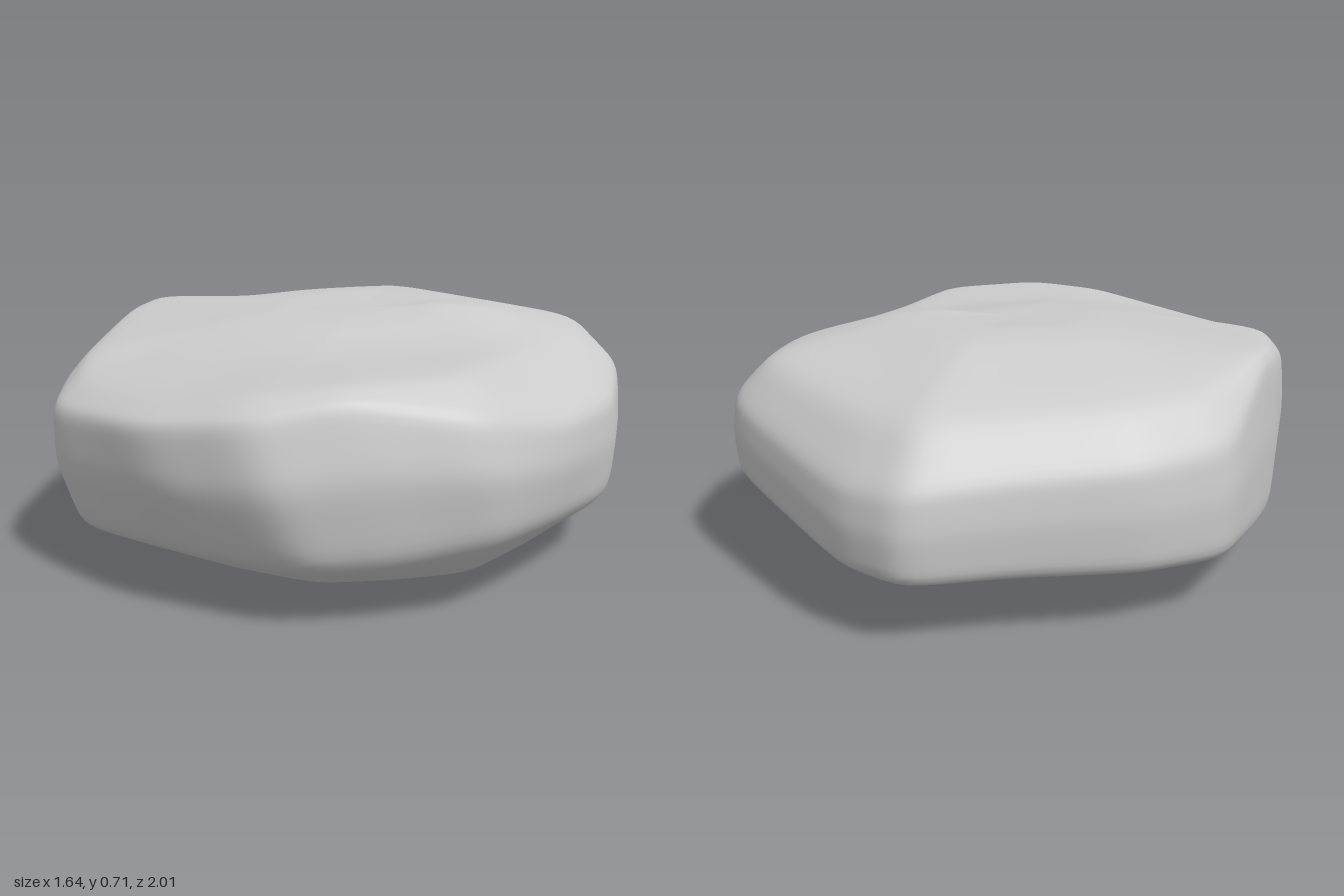
import * as THREE from 'three';

// Columns around the rock, starting at the back and running through +x:
// [x, z of the outline, lower rim y, upper rim y, top edge scale, top edge y, inner top y]
const COLUMNS = [
  [-0.05, -1.02, .19, .44, .85, .60, .715],
  [0.16, -0.96, .20, .43, .84, .59, .715],
  [0.71, -0.575, .29, .51, .86, .635, .71],
  [0.80, -0.25, .19, .53, .83, .63, .715],
  [0.825, 0.10, .19, .50, .72, .63, .68],
  [0.745, 0.45, .22, .51, .72, .64, .655],
  [0.61, 0.76, .24, .57, .85, .66, .655],
  [0.32, 0.915, .20, .63, .92, .66, .66],
  [0.08, 1.02, .19, .58, .90, .635, .665],
  [-0.25, 0.96, .18, .54, .87, .59, .67],
  [-0.68, 0.73, .14, .50, .87, .575, .68],
  [-0.78, 0.50, .13, .53, .90, .62, .69],
  [-0.83, 0.00, .14, .62, .95, .67, .70],
  [-0.82, -0.20, .15, .64, .95, .68, .705],
  [-0.785, -0.49, .17, .49, .87, .625, .705],
  [-0.60, -0.69, .18, .47, .85, .62, .71],
  [-0.30, -0.86, .19, .46, .85, .61, .715],
];
const STEPS = 8;

// One column's profile, from the middle of the underside to the middle of the top
function profile([x, z, low, high, topScale, topY, innerY]) {
  const back = Math.max(0, -z), front = Math.max(0, z);
  // The underside rises to the back; the front wall is undercut and leans sideways
  const lean = 0.07 * THREE.MathUtils.smoothstep(z, 0.6, 1);
  return [[0, 0.015, 0], [0.4, 0.13 * back, 0],
    [0.76, 0.06 + 0.1 * back + 0.03 * front, lean],
    [0.985 - 0.055 * front, low, lean],
    [1, low * 0.45 + high * 0.55, 0], [0.985, high, -lean],
    [topScale, topY, -lean], [0.45, innerY, 0], [0, 0.725, 0]]
    .map(([s, y, dx]) => new THREE.Vector3(x * s + dx, y, z * s));
}

// Straight subdivision of a list of points
function subdivide(points, closed) {
  const out = [];
  const spans = closed ? points.length : points.length - 1;
  for (let i = 0; i < spans; i++) {
    for (let k = 0; k < STEPS; k++) {
      out.push(points[i].clone().lerp(points[(i + 1) % points.length], k / STEPS));
    }
  }
  if (!closed) out.push(points[points.length - 1].clone());
  return out;
}

function rockGeometry() {
  // Dense grid of flat facets: grid[row][column]
  const columns = COLUMNS.map((c) => subdivide(profile(c), false));
  let grid = columns[0].map((_, r) => subdivide(columns.map((c) => c[r]), true));
  const rows = grid.length, n = grid[0].length;

  // Wear down the edges between facets
  for (let pass = 0; pass < 6; pass++) {
    grid = grid.map((row, r) => row.map((p, c) => {
      if (r === 0 || r === rows - 1) return p;
      return p.clone().multiplyScalar(2)
        .add(grid[r - 1][c]).add(grid[r + 1][c])
        .add(row[(c + 1) % n]).add(row[(c + n - 1) % n])
        .multiplyScalar(1 / 6);
    }));
  }

  // Ease the two poles into the middle of their surrounding rings
  for (const [pole, step] of [[0, 1], [rows - 1, -1]]) {
    const ring = (k) => grid[pole + step * k];
    const y = ring(5).reduce((sum, p) => sum + p.y, 0) / n;
    for (let k = 0; k < 5; k++) {
      const t = k / 5;
      ring(k).forEach((p, c) => { p.y = THREE.MathUtils.lerp(y, ring(5)[c].y, t * t); });
    }
  }

  // Rings of vertices with a single pole at each end
  const positions = [], index = [];
  positions.push(...grid[0][0].toArray());
  for (let r = 1; r < rows - 1; r++) grid[r].forEach((p) => positions.push(p.x, p.y, p.z));
  positions.push(...grid[rows - 1][0].toArray());
  const last = positions.length / 3 - 1;
  const at = (r, c) => 1 + (r - 1) * n + (c % n);
  for (let c = 0; c < n; c++) {
    index.push(0, at(1, c), at(1, c + 1));
    for (let r = 1; r < rows - 2; r++) {
      index.push(at(r, c), at(r + 1, c), at(r, c + 1));
      index.push(at(r, c + 1), at(r + 1, c), at(r + 1, c + 1));
    }
    index.push(at(rows - 2, c), last, at(rows - 2, c + 1));
  }
  const geometry = new THREE.BufferGeometry();
  geometry.setAttribute('position', new THREE.Float32BufferAttribute(positions, 3));
  geometry.setIndex(index);
  geometry.computeVertexNormals();
  return geometry;
}

export function createModel() {
  const group = new THREE.Group();
  group.name = 'rock';
  const stone = new THREE.Mesh(rockGeometry(), new THREE.MeshStandardMaterial({ color: 0xcccccc }));
  stone.name = 'stone';
  group.add(stone);
  return group;
}
